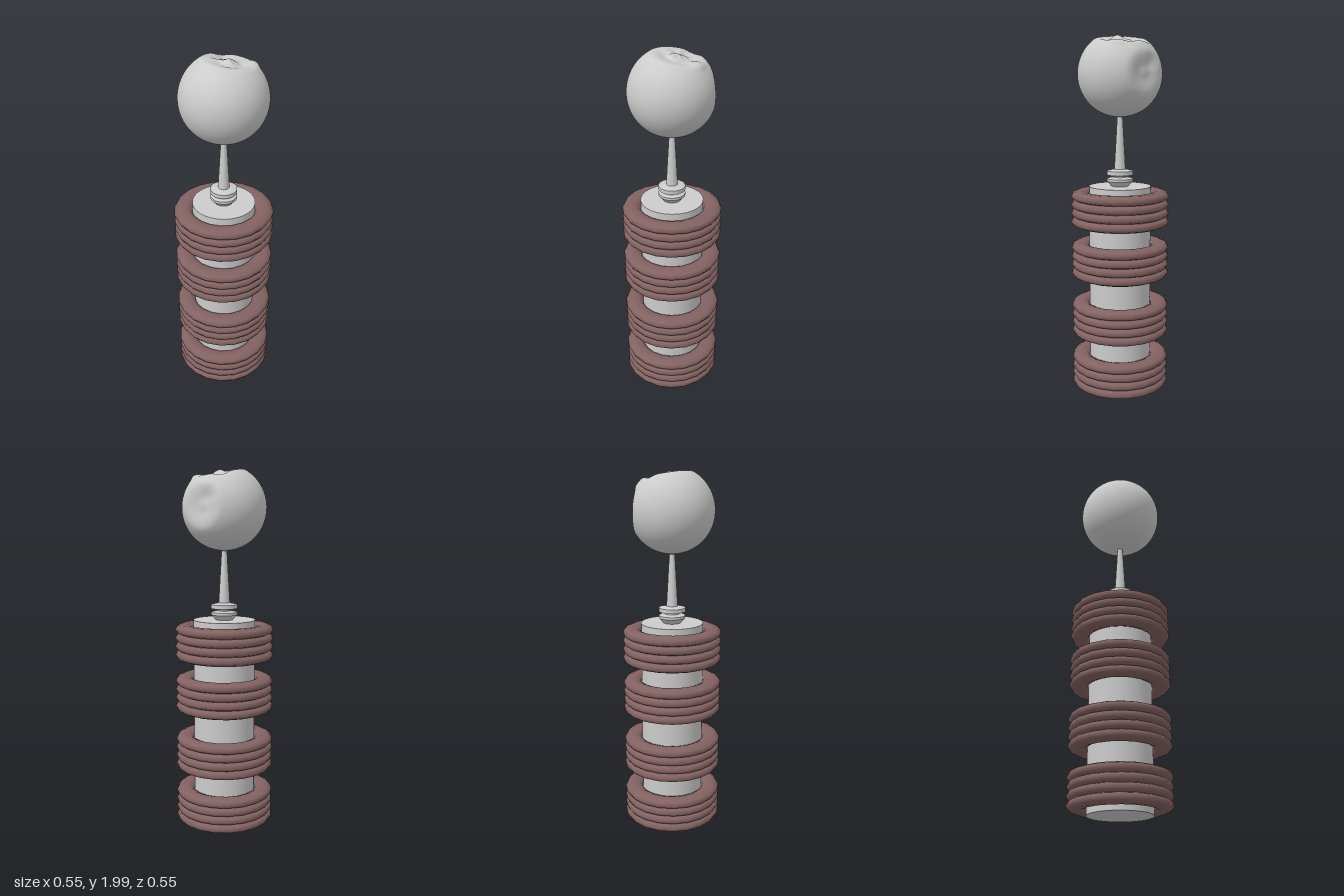
import * as THREE from 'three';
import { mergeVertices, toCreasedNormals } from 'three/addons/utils/BufferGeometryUtils.js';

const grey = new THREE.MeshStandardMaterial({ color: 0xcccccc });
const brown = new THREE.MeshStandardMaterial({ color: 0x836262 });

function addMesh(parent, name, geometry, material, y = 0) {
  const mesh = new THREE.Mesh(geometry, material);
  mesh.name = name;
  mesh.position.y = y;
  parent.add(mesh);
  return mesh;
}

// Ball with soft dents (positive depth) and bumps (negative depth)
function dentedBall(radius) {
  // direction x, y, z, inner angle, outer angle, depth
  const dents = [
    [0.06, 1, -0.17, 0.3, 0.68, 0.042],      // broad hollow on top
    [-0.38, 0.85, -0.42, 0.02, 0.28, 0.016], // deeper pocket at the back left
    [0.14, 1, -0.08, 0.0, 0.26, -0.018],     // swirl inside the hollow
    [0.2, 1, -0.12, 0.0, 0.12, 0.01],
    [-0.2, 1, 0.1, 0.02, 0.25, -0.01],
    [0.35, 0.8, -0.55, 0.02, 0.28, -0.012],  // raised rim towards the back
    [-0.22, 0.03, -0.97, 0.12, 0.6, 0.034],  // flattened patch on the back
    [-0.42, 0.3, -0.85, 0.0, 0.3, 0.01],
  ].map(([x, y, z, a, b, depth]) => ({ dir: new THREE.Vector3(x, y, z).normalize(), a, b, depth }));

  let geo = new THREE.IcosahedronGeometry(1, 36);
  geo.deleteAttribute('normal');
  geo.deleteAttribute('uv');
  geo = mergeVertices(geo);
  const pos = geo.attributes.position;
  const v = new THREE.Vector3();
  for (let i = 0; i < pos.count; i++) {
    v.fromBufferAttribute(pos, i).normalize();
    let r = radius;
    for (const d of dents) {
      r -= d.depth * (1 - THREE.MathUtils.smoothstep(v.angleTo(d.dir), d.a, d.b));
    }
    v.multiplyScalar(r);
    pos.setXYZ(i, v.x, v.y, v.z);
  }
  geo.computeVertexNormals();
  return geo;
}

export function createModel() {
  const model = new THREE.Group();
  model.name = 'ringedPillarWithBall';

  // Central column
  addMesh(model, 'column', new THREE.CylinderGeometry(0.172, 0.172, 1.18, 48), grey, 0.59);

  // Four stacks of four flattened rings
  const ringGeo = new THREE.TorusGeometry(0.223, 0.051, 10, 20);
  ringGeo.rotateX(Math.PI / 2);
  ringGeo.scale(1, 0.56, 1);
  [0.12, 0.427, 0.765, 1.056].forEach((y, s) => {
    const stack = new THREE.Group();
    stack.name = `ringStack${s + 1}`;
    stack.position.y = y;
    for (let i = 0; i < 4; i++) addMesh(stack, `ring${i + 1}`, ringGeo, brown, (i - 1.5) * 0.048);
    model.add(stack);
  });

  // Spool foot and tapering stem
  const profile = [
    [0, 1.176], [0.045, 1.176], [0.073, 1.208], [0.073, 1.222], [0.04, 1.23], [0.04, 1.236],
    [0.073, 1.243], [0.073, 1.265], [0.031, 1.274], [0.014, 1.575], [0, 1.575],
  ].map(([x, y]) => new THREE.Vector2(x, y));
  const stem = toCreasedNormals(new THREE.LatheGeometry(profile, 32), 0.5);
  addMesh(model, 'stem', stem, grey);

  // Dented ball on top
  addMesh(model, 'ball', dentedBall(0.23), grey, 1.788);

  return model;
}
